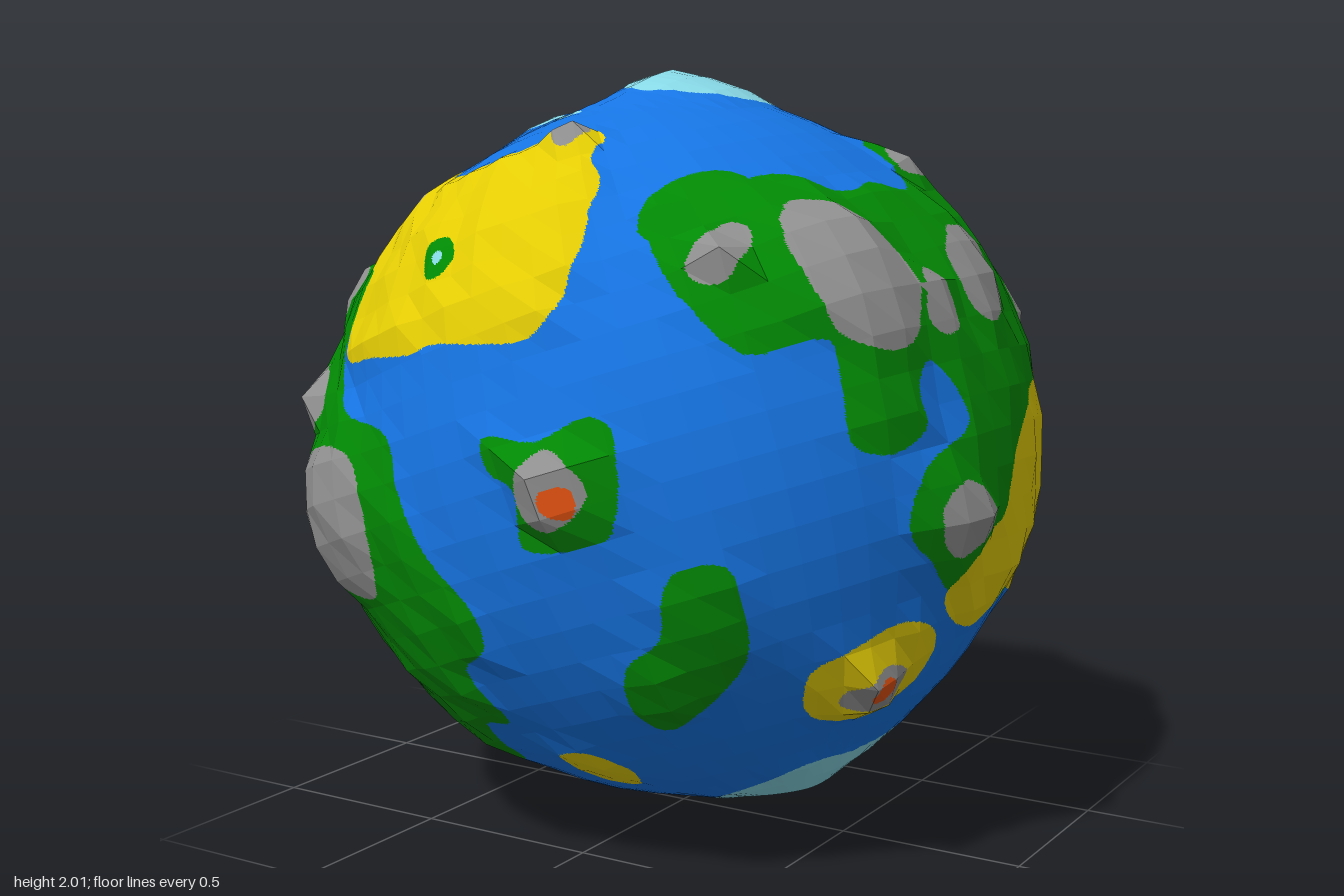
import * as THREE from 'three';

const R = 0.938; // sea level
const TILT = 0.33; // lean of the globe's axis

const mats = {};
for (const [name, color] of Object.entries({
  ocean: 0x1674e2, land: 0x028a04, sand: 0xe4cd04, rock: 0x909090, lava: 0xe85412, ice: 0x86d6e4,
})) {
  mats[name] = new THREE.MeshStandardMaterial({ color });
  mats[name].name = name;
}

// A frame is a flat map seen from one azimuth and elevation (degrees).
function frame(azimuth, elevation) {
  const a = THREE.MathUtils.degToRad(azimuth), e = THREE.MathUtils.degToRad(elevation);
  const fx = Math.sin(a), fz = Math.cos(a), s = Math.sin(e), c = Math.cos(e);
  return {
    u: new THREE.Vector3(fz, 0, -fx),
    v: new THREE.Vector3(-s * fx, c, -s * fz),
    d: new THREE.Vector3(c * fx, s, c * fz),
  };
}
const front = frame(0, 0), right = frame(90, 0), left = frame(270, 0), top = frame(0, 90);
const backLeft = frame(218, 24), backRight = frame(141, -27), upperLeft = frame(-63, 25);

// Regions are smooth closed outlines on a map, in hundredths; later ones lie on top.
const regions = [];
const peaks = [];
function region(kind, map, pts) {
  const knots = [];
  for (let i = 0; i < pts.length; i += 2) knots.push(new THREE.Vector3(pts[i] / 100, pts[i + 1] / 100, 0));
  const line = new THREE.CatmullRomCurve3(knots, true).getPoints(knots.length * 4);
  line.pop();
  regions.push({ kind, map, line, box: new THREE.Box3().setFromPoints(line) });
}
function peak(map, u, v, height, width) {
  const x = u / 98, y = v / 98, w = Math.sqrt(Math.max(0, 1 - x * x - y * y));
  const dir = new THREE.Vector3().addScaledVector(map.u, x).addScaledVector(map.v, y).addScaledVector(map.d, w).normalize();
  peaks.push({ dir, height, width });
}
function spot(kind, map, u, v, ru, rv = ru, height = 0) {
  const pts = [];
  for (let i = 0; i < 7; i++) {
    const t = (i / 7) * Math.PI * 2, k = 1 + 0.1 * Math.sin(i * 2.4 + u);
    pts.push(u + ru * k * Math.cos(t), v + rv * k * Math.sin(t));
  }
  region(kind, map, pts);
  if (height) peak(map, u, v, height, Math.max(ru, rv) / 75);
}

// Continents and islands
region('land', front, [-58, 52, -73, 51, -84, 40, -90, 20, -92, 3, -95, -12, -102, -30, -82, -68, -62, -69, -47, -68,
  -31, -77, -16, -77, -17, -64, -7, -61, -12, -46, -3, -39, -3, -30, -16, -16, -25, -1, -30, 11, -47, 14, -54, 18, -58, 27]);
region('land', left, [40, 48, 33, 35, 28, 20, 24, 5, 14, -12, 0, -35, -20, -45, -27, -58, -25, -69, -10, -74, 20, -72,
  40, -62, 55, -30, 55, 20, 50, 45]);
region('land', front, [3, 14, 17, 14, 28, 20, 34, 17, 35, -6, 28, -10, 13, -11, 13, 3, 5, 6]);
region('land', front, [46, -16, 57, -14, 59, -27, 57, -38, 46, -51, 35, -58, 31, -52, 33, -40, 42, -32]);
region('land', front, [28, 71, 36, 75, 48, 70, 56, 50, 50, 46, 42, 56, 28, 61]);
region('land', right, [-70, 52, -59, 68, -46, 72, -32, 74, -24, 70, -11, 72, 2, 70, 9, 74, 10, 81, 23, 82, 28, 72,
  39, 67, 52, 61, 55, 54, 67, 49, 71, 39, 68, 24, 59, 22, 51, 26, 52, 13, 47, -14, 7, -35, -20, -27, -30, -18,
  -39, -8, -35, 6, -20, 15, -22, 24, -29, 31, -34, 24, -34, 15, -43, 10, -52, 13, -52, 26, -53, 37, -67, 34]);
region('land', backLeft, [40, 19, 49, 22, 60, 16, 64, 2, 63, -13, 51, -16, 43, -5]);
region('land', backLeft, [-67, 36, -53, 45, -39, 45, -19, 36, -5, 22, 4, 1, 15, -14, 22, -32, 23, -50, 15, -60, 2, -55,
  -2, -44, -12, -31, -26, -32, -31, -50, -46, -55, -62, -42, -80, -40, -82, -29, -78, -17, -64, -11, -63, 5, -70, 20]);
region('land', backRight, [12, 14, 12, 38, 24, 48, 41, 52, 44, 69, 60, 74, 77, 54, 85, 24, 72, 19, 66, 5, 52, 14, 44, 7,
  29, -1, 28, -8, 38, -23, 35, -36, 24, -39, 7, -29, -7, -23, -10, -12, -5, -2, 10, 1]);

// Deserts and sandy islands
region('sand', front, [-62, 54, -56, 60, -50, 64, -30, 66, 0, 69, 13, 68, 17, 47, 11, 37, -2, 35, -17, 34, -25, 31,
  -41, 29, -55, 27, -58, 37, -57, 49]);
region('sand', top, [-62, -51, -56, -40, -44, -39, -41, -46, -18, -49, -8, -43, 5, -45, 6, -53, 14, -61, 12, -72, -50, -66]);
region('sand', right, [-22, -27, -16, -16, -3, -8, 2, 5, 18, 18, 34, 22, 49, 19, 50, -1, 56, -22, 52, -32, 42, -39,
  26, -35, 13, -32, 2, -39, -14, -35]);
region('sand', right, [-51, -43, -43, -36, -32, -32, -19, -38, -16, -48, -27, -58, -43, -56]);
region('sand', front, [2, -71, 11, -68, 19, -73, 16, -80, 6, -79]);
region('sand', backRight, [47, -71, 55, -57, 66, -47, 77, -43, 76, -55, 63, -71]);
region('sand', backLeft, [0, -86, 1, -78, 18, -73, 43, -69, 44, -76, 29, -86, 12, -89]);

// Oasis
spot('land', front, -24, 54, 5);
spot('ice', front, -24, 54, 1.6);

// Mountain ranges
region('rock', front, [-78, -14, -70, 1, -47, 6, -39, -2, -38, -30, -54, -32, -68, -27, -79, -24]);
peak(front, -62, -10, 0.055, 0.32);
region('rock', front, [-93, -14, -89, -6, -81, -8, -77, -24, -73, -32, -75, -43, -84, -40, -90, -27]);
region('rock', front, [-79, -57, -70, -58, -59, -68, -66, -70, -76, -66]);
region('rock', right, [-53, 59, -46, 67, -32, 67, -27, 58, -31, 39, -40, 34, -52, 39]);
peak(right, -42, 52, 0.045, 0.25);
region('rock', right, [-7, 55, 2, 61, 17, 58, 14, 44, 2, 38, -6, 42]);
spot('rock', upperLeft, 0, 0, 8, 8, 0.03);
spot('rock', front, -73, 15, 7, 8, 0.045);
spot('rock', front, 48, 56, 6, 7, 0.02);
spot('rock', top, -3, -48, 5, 5, 0.025);
spot('rock', top, -52, -48, 3);
spot('rock', right, -21, 44, 6, 8, 0.02);
spot('rock', right, 18, 77, 7, 4, 0.02);
spot('rock', right, 59, 38, 9, 9, 0.03);
spot('rock', right, -23, -7, 10, 9, 0.02);
spot('rock', left, 2, -66, 15, 7, 0.02);
spot('rock', backLeft, -42, -4, 11, 11, 0.045);
spot('rock', backLeft, -66, 25, 4, 8, 0.02);
spot('rock', backLeft, 10, -47, 10, 8, 0.02);
spot('land', backLeft, 4, -43, 2.5);
spot('rock', backRight, 5, -15, 8, 9, 0.02);
spot('rock', backRight, 24, -28, 7, 7, 0.02);

// Volcanoes with lava on the summit
for (const [map, u, v, ru, rv, height, lu, lv, lr] of [
  [front, 22, 3, 9, 9, 0.04, 25, 1, 4],
  [right, -34, -49, 8, 6, 0.03, -35, -49, 3.4],
  [backLeft, 54, 5, 9, 9, 0.11, 58, 4, 4],
]) {
  spot('rock', map, u, v, ru, rv, height);
  spot('lava', map, lu, lv, lr);
}

// Polar ice
region('ice', top, [-39, 36, -31, 40, -22, 36, -19, 27, -7, 22, 8, 23, 20, 15, 21, -1, 14, -11, 3, -16, -8, -14, -15, -6,
  -23, 5, -27, -3, -27, -11, -36, -18, -47, -18, -52, -6, -58, 3, -52, 13, -38, 20]);
spot('ocean', top, -31, -5, 3, 6);
spot('ice', top, -23, -21, 4, 3.5);
region('ice', backRight, [-53, -59, -49, -48, -36, -42, -19, -45, -7, -54, 7, -59, 18, -61, 21, -72, 12, -83, 1, -88,
  -13, -84, -24, -81, -43, -73]);
region('ice', front, [13, -97, 24, -89, 42, -80, 56, -73, 58, -74, 50, -84, 30, -97]);
peak(top, -4, 0, 0.055, 0.28);
peak(top, -42, 4, 0.03, 0.18);
for (const [x, z, height] of [[0.07, -0.12, 0.06], [0.5, 0.1, 0.03]]) {
  peaks.push({ dir: new THREE.Vector3(x, -1, z).normalize(), height, width: 0.18 });
}

function inside(line, x, y) {
  let hit = false;
  for (let i = 0, j = line.length - 1; i < line.length; j = i++) {
    const a = line[i], b = line[j];
    if (a.y > y !== b.y > y && x < ((b.x - a.x) * (y - a.y)) / (b.y - a.y) + a.x) hit = !hit;
  }
  return hit;
}
function kindAt(p) {
  for (let i = regions.length - 1; i >= 0; i--) {
    const { kind, map, line, box } = regions[i];
    if (p.dot(map.d) <= 0) continue;
    const x = p.dot(map.u), y = p.dot(map.v);
    if (x < box.min.x || x > box.max.x || y < box.min.y || y > box.max.y) continue;
    if (inside(line, x, y)) return kind;
  }
  return 'ocean';
}

// Surface height: softened steps for each kind of ground, roughness, and cones for peaks
const step = { ocean: 0, land: 0.022, sand: 0.02, rock: 0.05, lava: 0.05, ice: 0.018 };
const around = [[0, 0, 0], [1, 0, 0], [-1, 0, 0], [0, 1, 0], [0, -1, 0], [0, 0, 1], [0, 0, -1]]
  .map((o) => new THREE.Vector3(...o).multiplyScalar(0.05));
function surfacePoint(dir, i, j) {
  const n = Math.sin(i * 127.1 + j * 311.7) * 43758.5453;
  let rise = 0;
  for (const o of around) rise += step[kindAt(dir.clone().add(o).setLength(0.96))] / around.length;
  const kind = kindAt(dir.clone().setLength(0.96));
  if (kind !== 'ocean' && kind !== 'ice') rise += (n - Math.floor(n) - 0.5) * 0.018;
  for (const p of peaks) rise += p.height * Math.max(0, 1 - dir.distanceTo(p.dir) / p.width);
  return dir.clone().multiplyScalar(R + rise);
}

export function createModel() {
  const group = new THREE.Group();
  group.name = 'planet';
  const soup = {};
  for (const kind in mats) soup[kind] = [];

  // Cut a facet into smaller coplanar ones along the colour borders
  function emit(a, b, c, depth) {
    const ab = a.clone().lerp(b, 0.5), bc = b.clone().lerp(c, 0.5), ca = c.clone().lerp(a, 0.5);
    const kind = kindAt(a.clone().add(b).add(c).divideScalar(3));
    if (depth === 0 || [a, b, c, ab, bc, ca].every((p) => kindAt(p) === kind)) {
      for (const p of [a, b, c]) soup[kind].push(p.x, p.y, p.z);
      return;
    }
    emit(a, ab, ca, depth - 1);
    emit(ab, b, bc, depth - 1);
    emit(ca, bc, c, depth - 1);
    emit(ab, bc, ca, depth - 1);
  }

  // Faceted globe on a leaning axis
  const cols = 64, rows = 32, grid = [], axis = new THREE.Vector3(0, 0, 1);
  for (let i = 0; i <= rows; i++) {
    grid.push([]);
    for (let j = 0; j < cols; j++) {
      const pole = i === 0 || i === rows;
      const dir = new THREE.Vector3().setFromSphericalCoords(1, (i / rows) * Math.PI, pole ? 0 : (j / cols) * Math.PI * 2);
      grid[i].push(surfacePoint(dir.applyAxisAngle(axis, TILT), i, pole ? 0 : j));
    }
  }
  for (let i = 0; i < rows; i++) {
    for (let j = 0; j < cols; j++) {
      const k = (j + 1) % cols;
      const a = grid[i][j], b = grid[i][k], c = grid[i + 1][j], d = grid[i + 1][k];
      if (i < rows - 1) emit(a, c, d, 4);
      if (i > 0) emit(a, d, b, 4);
    }
  }

  for (const kind in soup) {
    const geo = new THREE.BufferGeometry();
    geo.setAttribute('position', new THREE.Float32BufferAttribute(soup[kind], 3));
    geo.computeVertexNormals();
    const mesh = new THREE.Mesh(geo, mats[kind]);
    mesh.name = kind;
    group.add(mesh);
  }

  // Stand the globe on the ground
  group.position.y = -new THREE.Box3().setFromObject(group).min.y;
  return group;
}
